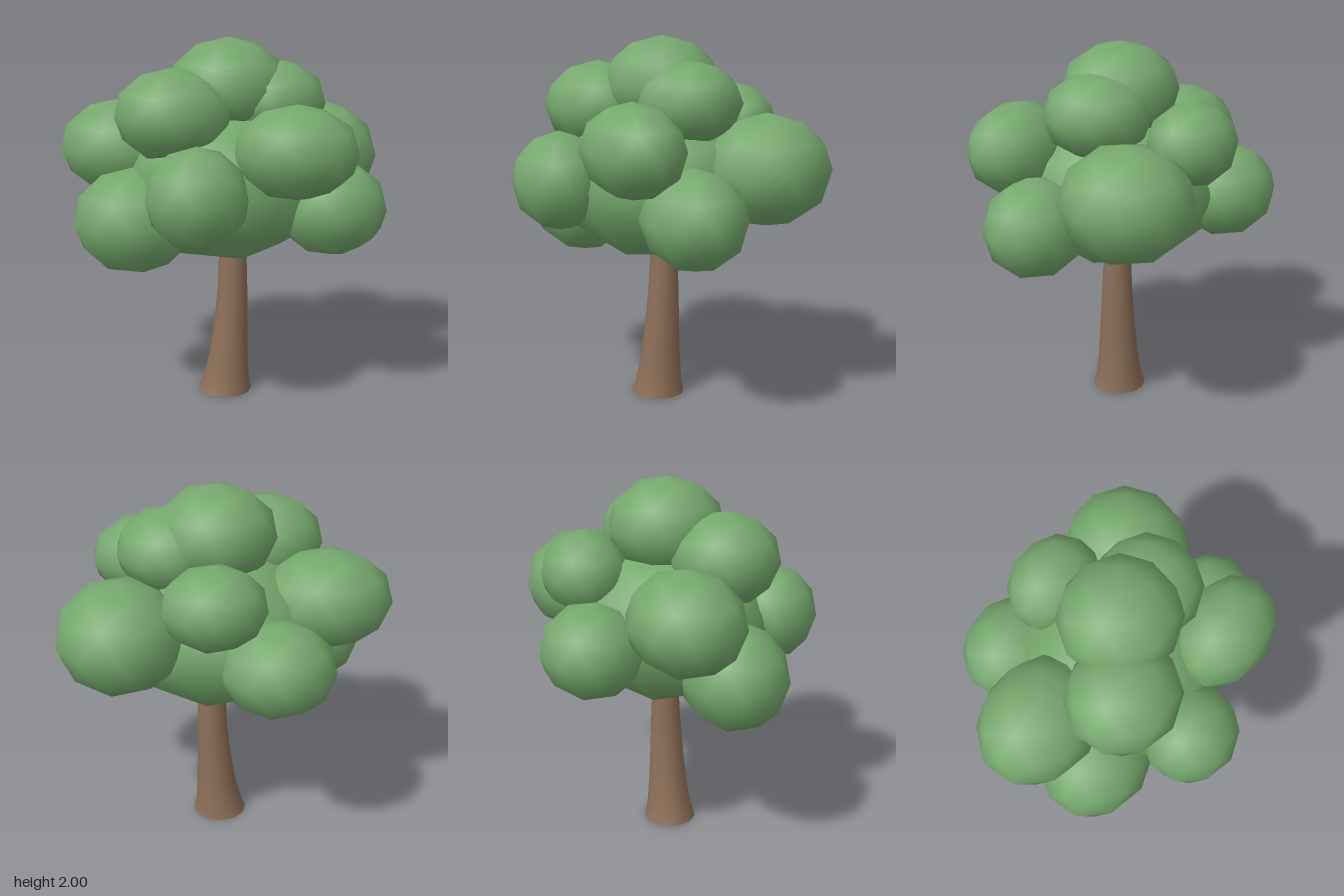
import * as THREE from 'three';
import { mergeVertices } from 'three/addons/utils/BufferGeometryUtils.js';

const leafGreen = new THREE.MeshStandardMaterial({ color: 0x76a86e });
leafGreen.name = 'leafGreen';
const barkBrown = new THREE.MeshStandardMaterial({ color: 0x8c7059 });
barkBrown.name = 'barkBrown';

// Leaf clumps: name, centre, radii
const CLUMPS = [
  ['crownCore', [0.02, 1.225, -0.01], [0.565, 0.43, 0.55]],
  ['topClump', [0.04, 1.74, -0.02], [0.325, 0.26, 0.315]],
  ['topLeftClump', [0.28, 1.66, -0.018], [0.285, 0.225, 0.285]],
  ['upperRightClump', [-0.25, 1.617, 0.2], [0.31, 0.245, 0.29]],
  ['upperFrontLeftClump', [0.38, 1.46, 0.4], [0.326, 0.245, 0.245]],
  ['upperBackClump', [0.084, 1.517, -0.46], [0.275, 0.22, 0.232]],
  ['rightClump', [-0.53, 1.395, -0.115], [0.36, 0.268, 0.302]],
  ['backLeftClump', [0.55, 1.32, -0.328], [0.336, 0.298, 0.345]],
  ['frontClump', [-0.118, 1.252, 0.53], [0.267, 0.265, 0.25]],
  ['lowerRightClump', [-0.46, 1.048, 0.178], [0.33, 0.289, 0.285]],
  ['lowerLeftClump', [0.585, 1.122, 0.175], [0.3, 0.262, 0.262]],
  ['lowerBackClump', [-0.234, 1.194, -0.515], [0.3, 0.25, 0.273]],
];

// Trunk rings from the ground up: height, centre x, centre z, radius x, radius z
const RINGS = [
  [0, 0.021, -0.006, 0.151, 0.147],
  [0.06, 0.027, -0.007, 0.133, 0.13],
  [0.2, 0.041, -0.01, 0.111, 0.112],
  [0.4, 0.054, -0.012, 0.094, 0.097],
  [0.6, 0.064, -0.015, 0.083, 0.085],
  [0.8, 0.064, -0.016, 0.077, 0.075],
  [0.95, 0.064, -0.016, 0.072, 0.07],
];

// Tapering, leaning trunk: a unit tube whose rings are shifted and scaled
function trunkGeometry() {
  const last = RINGS.length - 1;
  let g = new THREE.CylinderGeometry(1, 1, 1, 12, last, true);
  g.deleteAttribute('uv');
  g.deleteAttribute('normal');
  const p = g.attributes.position;
  for (let i = 0; i < p.count; i++) {
    const [y, cx, cz, rx, rz] = RINGS[Math.round((p.getY(i) + 0.5) * last)];
    p.setXYZ(i, cx + p.getX(i) * rx, y, cz + p.getZ(i) * rz);
  }
  g = mergeVertices(g);
  g.computeVertexNormals();
  return g;
}

export function createModel() {
  const tree = new THREE.Group();
  tree.name = 'tree';

  // Trunk and its underside
  const trunk = new THREE.Mesh(trunkGeometry(), barkBrown);
  trunk.name = 'trunk';
  const [, cx, cz, rx, rz] = RINGS[0];
  const base = new THREE.Mesh(
    new THREE.CircleGeometry(1, 12).rotateZ(Math.PI / 2).rotateX(Math.PI / 2),
    barkBrown
  );
  base.name = 'trunkBase';
  base.position.set(cx, 0, cz);
  base.scale.set(rx, 1, rz);
  tree.add(trunk, base);

  // Crown: one smooth low-poly ball, turned so a corner points up
  const crown = new THREE.Group();
  crown.name = 'crown';
  const ball = new THREE.IcosahedronGeometry(1, 1);
  ball.rotateZ(Math.atan(2 / (1 + Math.sqrt(5))));
  for (const [name, centre, radii] of CLUMPS) {
    const clump = new THREE.Mesh(ball, leafGreen);
    clump.name = name;
    clump.position.set(...centre);
    clump.scale.set(...radii);
    crown.add(clump);
  }
  tree.add(crown);
  return tree;
}
